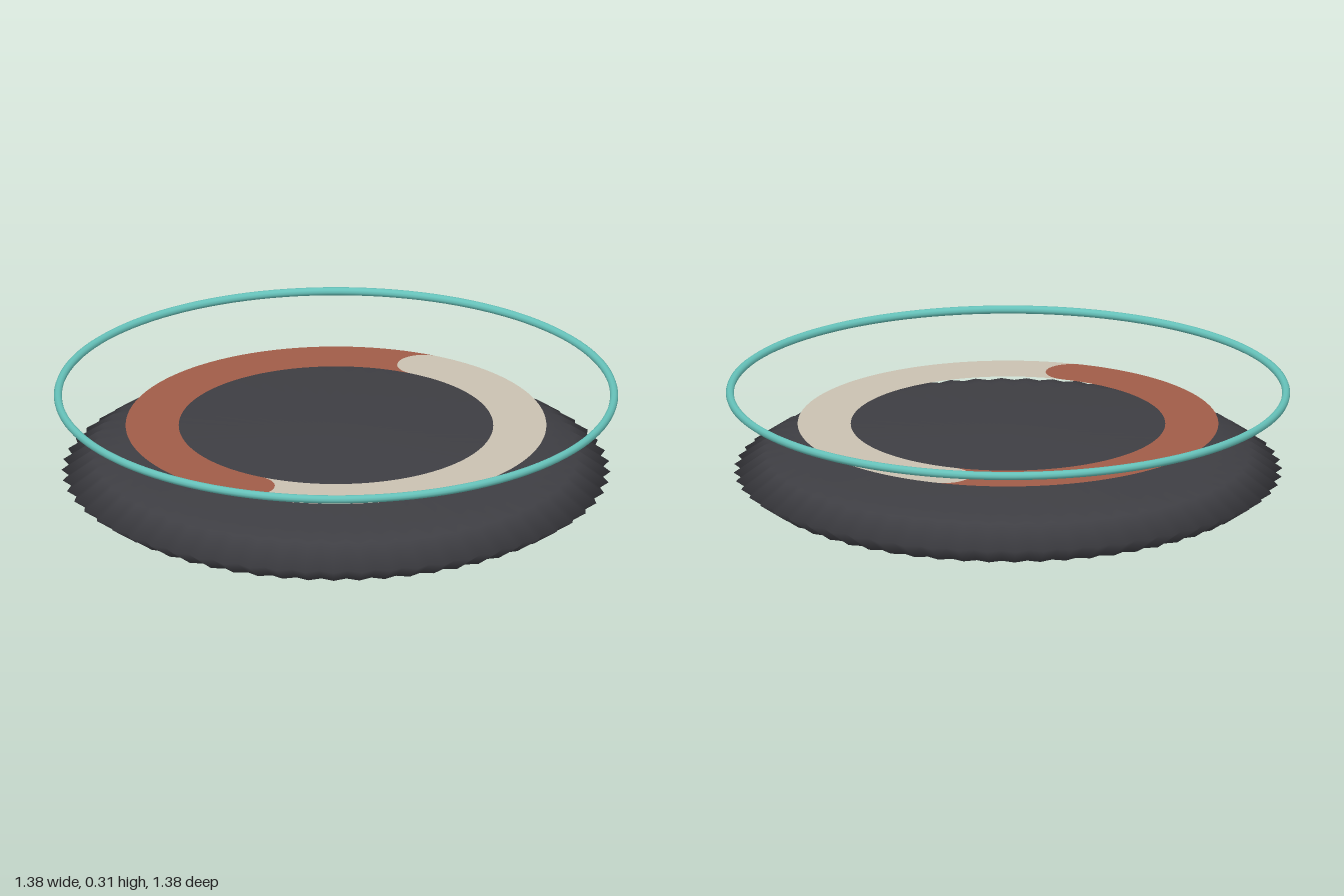
import * as THREE from 'three';
import { mergeVertices } from 'three/addons/utils/BufferGeometryUtils.js';

const mat = (name, color, side = THREE.FrontSide) => {
  const m = new THREE.MeshStandardMaterial({ color, side });
  m.name = name;
  return m;
};

// Low lathed cushion whose radius alternates to make 60 pleats
function pleatedDisc() {
  const teeth = 60;
  const profile = [
    [0, 0], [0.28, 0.018], [0.53, 0.036], [0.602, 0.05], [0.672, 0.098],
    [0.602, 0.146], [0.53, 0.16], [0.28, 0.177], [0, 0.195],
  ].map(([r, y]) => new THREE.Vector2(r, y));
  let geo = new THREE.LatheGeometry(profile, teeth * 2);
  const p = geo.attributes.position;
  for (let i = 0; i < p.count; i++) {
    const a = Math.atan2(p.getX(i), p.getZ(i));
    const k = 1 - 0.0125 * (1 - Math.cos(a * teeth));
    p.setX(i, p.getX(i) * k);
    p.setZ(i, p.getZ(i) * k);
  }
  geo.deleteAttribute('uv');
  geo.deleteAttribute('normal');
  geo = mergeVertices(geo, 1e-5);
  geo.computeVertexNormals();
  return geo;
}

// Half ring with one rounded end and one matching hollow end
function halfBand() {
  const rad = THREE.MathUtils.degToRad;
  const mid = 0.45, half = 0.065;
  const a = rad(68), b = rad(-112);
  const s = new THREE.Shape();
  s.absarc(0, 0, mid + half, b, a, false);
  s.absarc(mid * Math.cos(a), mid * Math.sin(a), half, a, a + Math.PI, false);
  s.absarc(0, 0, mid - half, a, b, true);
  s.absarc(mid * Math.cos(b), mid * Math.sin(b), half, a, b, true);
  return new THREE.ShapeGeometry(s, 48).rotateX(-Math.PI / 2);
}

export function createModel() {
  const group = new THREE.Group();
  group.name = 'pleatedDiscWithRings';
  const add = (name, geo, material, y = 0, turn = 0) => {
    const mesh = new THREE.Mesh(geo, material);
    mesh.name = name;
    mesh.position.y = y;
    mesh.rotation.y = turn;
    group.add(mesh);
  };

  add('pleatedBody', pleatedDisc(), mat('charcoal', 0x3e3e43));

  // Two interlocking flat bands floating over the body
  const band = halfBand();
  add('creamBand', band, mat('cream', 0xc9c1b1, THREE.DoubleSide), 0.218);
  add('rustBand', band, mat('rust', 0xa05c48, THREE.DoubleSide), 0.218, Math.PI);

  // Thin hoop above everything
  const hoop = new THREE.TorusGeometry(0.681, 0.01, 10, 128).rotateX(Math.PI / 2);
  add('hoop', hoop, mat('teal', 0x66c2ba), 0.297);

  return group;
}
